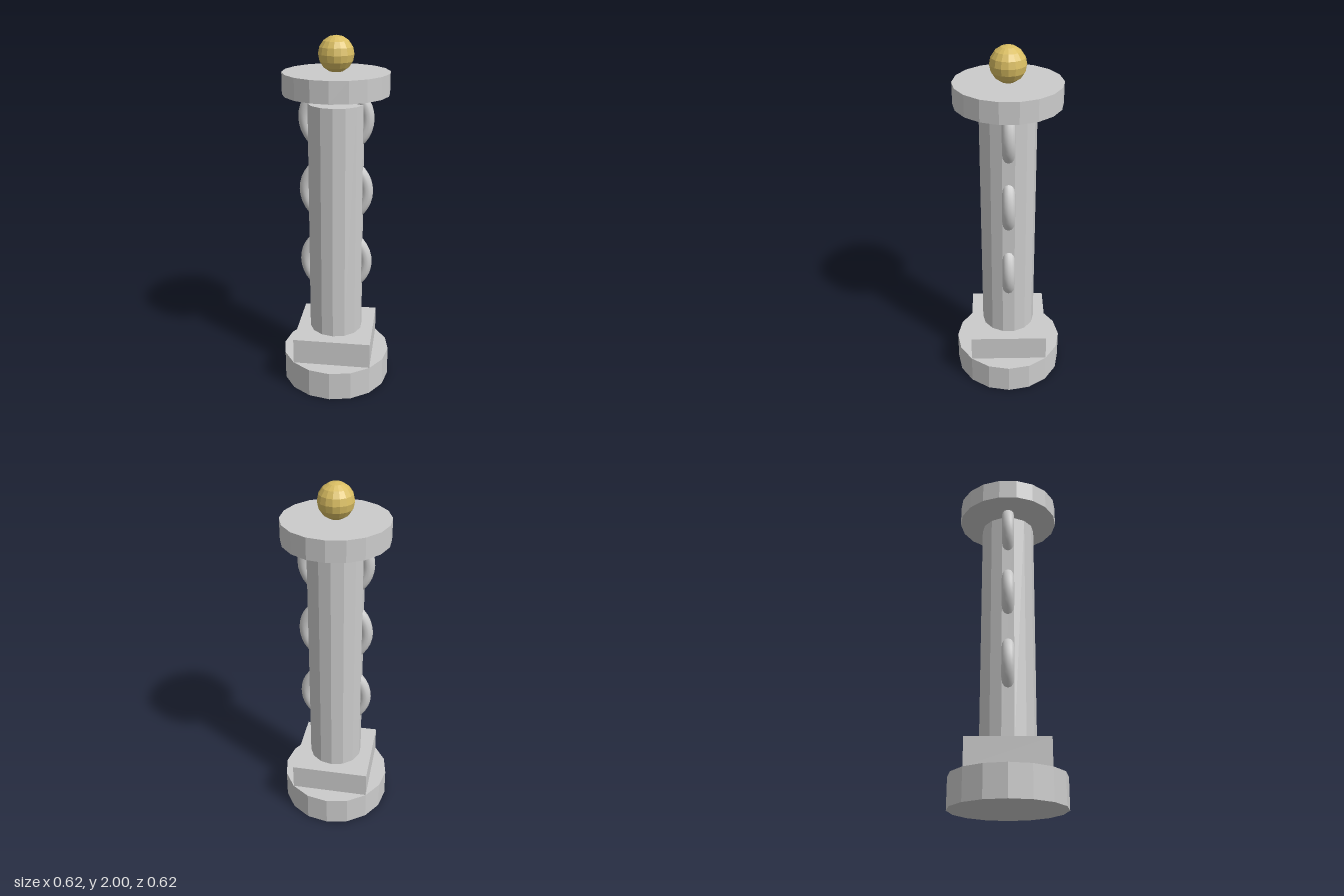
import * as THREE from 'three';

export function createModel() {
  const model = new THREE.Group();
  const grey = new THREE.MeshStandardMaterial({ color: 0xcccccc, flatShading: true });
  const smoothGrey = new THREE.MeshStandardMaterial({ color: 0xcccccc });
  const gold = new THREE.MeshStandardMaterial({ color: 0xd9bd62, flatShading: true });

  const add = (name, geometry, material, y) => {
    const mesh = new THREE.Mesh(geometry, material);
    mesh.name = name;
    mesh.position.y = y;
    model.add(mesh);
  };
  // Upright prism between two heights
  const drum = (name, radius, y0, y1, sides) =>
    add(name, new THREE.CylinderGeometry(radius, radius, y1 - y0, sides), grey, (y0 + y1) / 2);

  // Round foot, square plinth, shaft and floating cap disc
  drum('base', 0.312, 0, 0.17, 16);
  add('plinth', new THREE.BoxGeometry(0.44, 0.15, 0.44), grey, 0.245);
  drum('shaft', 0.152, 0.32, 1.65, 14);
  drum('capDisc', 0.285, 1.7, 1.815, 18);

  // Upright rings threaded through the shaft
  [0.74, 1.165, 1.57].forEach((y, i) =>
    add(`ring${i + 1}`, new THREE.TorusGeometry(0.17, 0.035, 12, 36), smoothGrey, y));

  // Ball on top
  add('finial', new THREE.SphereGeometry(0.095, 16, 8), gold, 1.905);

  return model;
}
